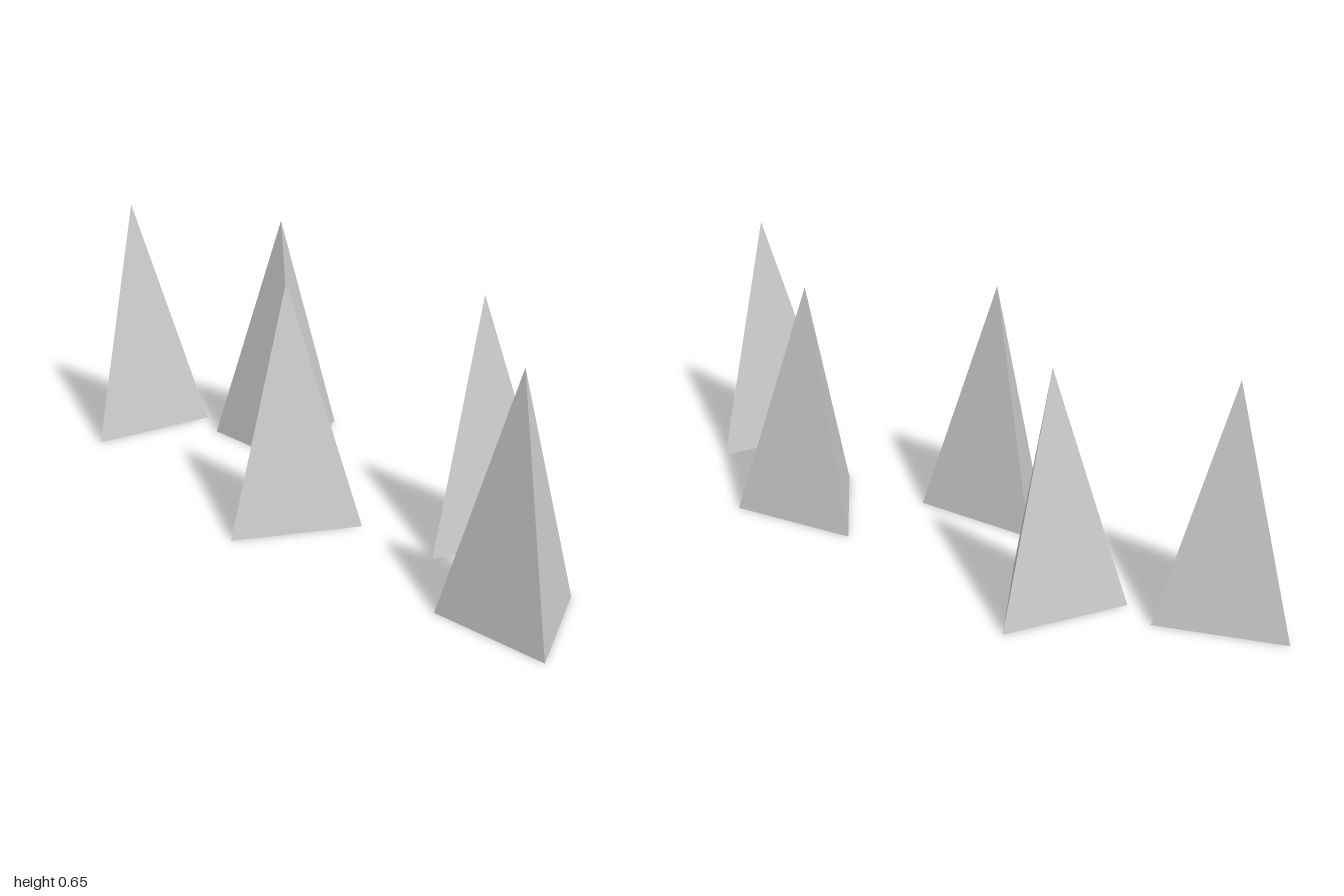
import * as THREE from 'three';

const RADIUS = 0.202;
const HEIGHT = 0.654;

// Position and turn (degrees) of each spike
const SPIKES = [
  { x: -0.802, z: 0.034, turn: 19.3 },
  { x: -0.397, z: -0.172, turn: 60 },
  { x: 0.007, z: 0.171, turn: 1.6 },
  { x: 0.413, z: -0.131, turn: 8 },
  { x: 0.822, z: 0.17, turn: 61.2 },
];

export function createModel() {
  const model = new THREE.Group();
  model.name = 'spikes';
  const material = new THREE.MeshStandardMaterial({
    color: 0xcccccc,
    flatShading: true,
    side: THREE.DoubleSide,
  });

  // Hollow three-sided pyramid, open underneath, standing on the ground
  const geometry = new THREE.ConeGeometry(RADIUS, HEIGHT, 3, 1, true);
  geometry.translate(0, HEIGHT / 2, 0);

  SPIKES.forEach(({ x, z, turn }, i) => {
    const spike = new THREE.Mesh(geometry, material);
    spike.name = `spike${i + 1}`;
    spike.position.set(x, 0, z);
    spike.rotation.y = THREE.MathUtils.degToRad(turn);
    model.add(spike);
  });
  return model;
}
